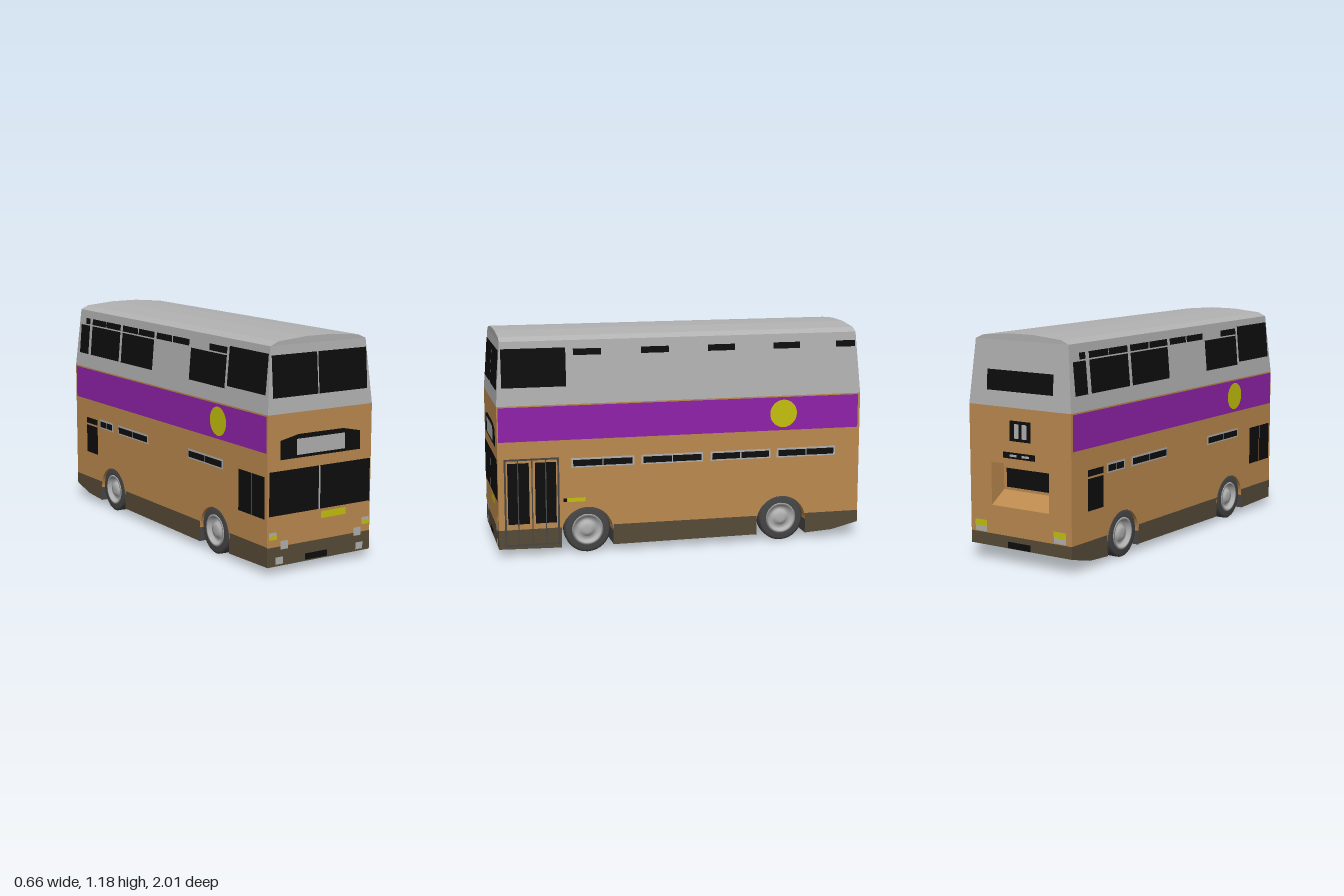
import * as THREE from 'three';

const mat = (name, color) => new THREE.MeshStandardMaterial({ name, color, side: THREE.DoubleSide });

export function createModel() {
  const bus = new THREE.Group();
  bus.name = 'doubleDeckerBus';
  const tan = mat('tan', 0xbd8a4f), grey = mat('lightGrey', 0xb2b2b2), olive = mat('olive', 0x574b38);
  const purple = mat('purple', 0x9122ab), yellow = mat('yellow', 0xc6c20e);
  const black = mat('black', 0x0d0d0d), charcoal = mat('charcoal', 0x464646);

  const W = 0.325, WAIST = 0.81, EAVE = 1.145, SKIRT = 0.145;
  const arches = [0.525, -0.555], AR = 0.14, AY = 0.11;

  const add = (name, geo, material, parent = bus) => {
    const m = new THREE.Mesh(geo, material);
    m.name = name;
    parent.add(m);
    return m;
  };

  // Faces of the body: u is x on front and back, z on the sides; the upper deck leans in
  const lean = v => Math.max(0, v - WAIST) / (EAVE - WAIST);
  const faces = {
    front: { s: 1, at: (u, v, o) => [u, v, 1 - 0.025 * lean(v) + o] },
    back: { s: -1, at: (u, v, o) => [u, v, -1 + 0.025 * lean(v) - o] },
    left: { s: -1, at: (u, v, o) => [W - 0.03 * lean(v) + o, v, u] },
    right: { s: 1, at: (u, v, o) => [-W + 0.03 * lean(v) - o, v, u] },
  };
  // Flat outline laid on one face of the body
  function panel(name, face, material, pts, layer = 1, holes = []) {
    const { s, at } = faces[face];
    const v2 = list => list.map(([u, v]) => new THREE.Vector2(u * s, v));
    const shape = new THREE.Shape(v2(pts));
    holes.forEach(h => shape.holes.push(new THREE.Path(v2(h))));
    const geo = new THREE.ShapeGeometry(shape);
    const p = geo.attributes.position;
    for (let i = 0; i < p.count; i++) p.setXYZ(i, ...at(p.getX(i) * s, p.getY(i), layer * 0.0025));
    geo.computeVertexNormals();
    return add(name, geo, material);
  }
  const box = (a, b, c, d) => [[a, c], [b, c], [b, d], [a, d]];
  const rect = (name, face, material, a, b, c, d, layer = 1) => panel(name, face, material, box(a, b, c, d), layer);
  // Quad from four corners
  function quad(name, material, a, b, c, d) {
    const geo = new THREE.BufferGeometry();
    geo.setAttribute('position', new THREE.Float32BufferAttribute([a, b, c, a, c, d].flat(), 3));
    geo.computeVertexNormals();
    return add(name, geo, material);
  }

  // Upper deck: box tapering towards the eaves
  const deck = new THREE.BoxGeometry(2 * W, EAVE - WAIST, 2);
  const dp = deck.attributes.position;
  for (let i = 0; i < dp.count; i++) {
    if (dp.getY(i) > 0) dp.setXYZ(i, dp.getX(i) * 0.295 / W, dp.getY(i), dp.getZ(i) * 0.975);
  }
  deck.translate(0, (WAIST + EAVE) / 2, 0);
  deck.computeVertexNormals();
  add('upperDeck', deck, grey);

  // Cambered roof
  const camber = [[-0.295, EAVE], [0.295, EAVE], [0.25, 1.165], [0.08, 1.18], [-0.08, 1.18], [-0.25, 1.165]];
  const roof = new THREE.ExtrudeGeometry(new THREE.Shape(camber.map(p => new THREE.Vector2(...p))),
    { depth: 1.95, bevelEnabled: false });
  add('roof', roof.translate(0, 0, -0.975), grey);

  // Lower body sides with wheel arches, and skirts between the arches
  const sideOutline = [[-1, WAIST], [-1, SKIRT]];
  const a0 = Math.asin((SKIRT - AY) / AR);
  [...arches].reverse().forEach(z => {
    for (let i = 0; i <= 16; i++) {
      const t = Math.PI - a0 - (Math.PI - 2 * a0) * i / 16;
      sideOutline.push([z + AR * Math.cos(t), AY + AR * Math.sin(t)]);
    }
  });
  sideOutline.push([1, SKIRT], [1, WAIST]);
  const skirts = [
    [[1, SKIRT], [1, 0.042], [0.665, 0.034], [0.665, SKIRT]],
    [[0.385, SKIRT], [0.385, 0.034], [-0.415, 0.04], [-0.415, SKIRT]],
    [[-0.695, SKIRT], [-0.695, 0.033], [-0.85, 0.043], [-1, 0.08], [-1, SKIRT]],
  ];
  for (const f of ['left', 'right']) {
    panel(f + 'Side', f, tan, sideOutline, 0);
    skirts.forEach(s => panel(f + 'Skirt', f, olive, s, 0));
    rect(f + 'PurpleBand', f, purple, -0.987, 0.993, 0.62, 0.803);
    const zc = f === 'left' ? -0.56 : 0.565;
    panel(f + 'YellowDisc', f, yellow, Array.from({ length: 32 }, (_, i) =>
      [zc + 0.076 * Math.cos(i * Math.PI / 16), 0.713 + 0.076 * Math.sin(i * Math.PI / 16)]), 2);
    rect(f + 'UpperFrontWindow', f, black, 0.63, 0.97, 0.905, 1.108);
  }

  // End walls and skirts
  rect('frontWall', 'front', tan, -W, W, SKIRT - 0.005, WAIST, 0);
  rect('frontSkirt', 'front', olive, -W, W, 0.04, SKIRT - 0.005, 0);
  rect('backSkirt', 'back', olive, -W, W, 0.08, SKIRT, 0);
  panel('backWall', 'back', tan, box(-W, W, SKIRT, WAIST), 0, [box(-0.185, 0.185, 0.295, 0.52)]);

  // Recess in the back wall, with a sloping sill
  const o = [[-0.185, 0.295, -1], [0.185, 0.295, -1], [0.185, 0.52, -1], [-0.185, 0.52, -1]];
  const n = [[-0.185, 0.36, -0.9], [0.185, 0.36, -0.9], [0.185, 0.52, -0.9], [-0.185, 0.52, -0.9]];
  for (let i = 0; i < 4; i++) quad('recessWall', tan, o[i], o[(i + 1) % 4], n[(i + 1) % 4], n[i]);
  quad('recessBack', tan, n[1], n[0], n[3], n[2]);
  rect('backLowerWindow', 'back', black, -0.165, 0.165, 0.375, 0.475, -39);

  // Underside: raised floor, arch liners, cross walls, closed tail
  const across = (name, m, y1, z1, y2, z2) =>
    quad(name, m, [-W, y1, z1], [W, y1, z1], [W, y2, z2], [-W, y2, z2]);
  across('floor', tan, 0.249, -1, 0.249, 1);
  across('tailUnderside', olive, 0.033, -0.695, 0.043, -0.85);
  across('tailUnderside', olive, 0.043, -0.85, 0.08, -1);
  for (const z of arches) {
    const liner = new THREE.CylinderGeometry(AR, AR, 2 * W, 16, 1, true, 0, Math.PI);
    add('archLiner', liner.rotateZ(Math.PI / 2).translate(0, AY, z), tan);
    for (const s of [-1, 1]) across('archWall', charcoal, 0.035, z + s * AR, AY, z + s * AR);
  }

  // Wheels: tyre and dished rim turned about the axle
  const lathe = pts => new THREE.LatheGeometry(pts.map(p => new THREE.Vector2(...p)), 32).rotateZ(Math.PI / 2);
  const tyre = lathe([[0.08, 0.032], [0.08, -0.03], [0.113, -0.032], [0.125, -0.025], [0.125, 0.025],
    [0.113, 0.032], [0.08, 0.032]]);
  const rim = lathe([[0, -0.03], [0.08, -0.03], [0.085, 0.033], [0.073, 0.034], [0.066, 0.014],
    [0.045, 0.01], [0.038, 0.026], [0.018, 0.03], [0, 0.03]]);
  for (const z of arches) {
    for (const s of [-1, 1]) {
      const wheel = new THREE.Group();
      wheel.name = (z > 0 ? 'front' : 'rear') + (s > 0 ? 'Left' : 'Right') + 'Wheel';
      add('tyre', tyre, charcoal, wheel);
      add('rim', rim, grey, wheel);
      wheel.position.set(s * 0.288, 0.125, z);
      wheel.rotation.y = s > 0 ? Math.PI : 0;
      bus.add(wheel);
    }
  }

  // Front: windscreens, destination box, lights and plates
  rect('upperWindscreen', 'front', black, -0.292, -0.016, 0.89, 1.1);
  rect('upperWindscreen', 'front', black, -0.009, 0.295, 0.89, 1.1);
  rect('lowerWindscreen', 'front', black, -0.315, 0.318, 0.3, 0.525);
  rect('windscreenDivider', 'front', grey, -0.012, -0.002, 0.3, 0.525, 2);
  panel('destinationBox', 'front', black,
    [[-0.25, 0.58], [0.25, 0.58], [0.25, 0.677], [0.14, 0.7], [-0.14, 0.7], [-0.25, 0.677]]);
  rect('destinationBlind', 'front', grey, -0.15, 0.15, 0.595, 0.677, 2);
  rect('yellowPlate', 'front', yellow, 0.008, 0.165, 0.25, 0.286);
  rect('frontPlate', 'front', black, -0.09, 0.05, 0.047, 0.08);
  for (const [x, u, w] of [[-0.315, -0.245, -0.275], [0.27, 0.22, 0.233]]) {
    rect('sideLight', 'front', grey, x, x + 0.047, 0.18, 0.217);
    rect('indicator', 'front', yellow, x, x + 0.047, 0.18, 0.2, 2);
    rect('headlight', 'front', grey, u, u + 0.046, 0.124, 0.168);
    rect('fogLight', 'front', grey, w, w + 0.046, 0.05, 0.087);
  }

  // Back: window, vents, lights and plate
  rect('backUpperWindow', 'back', black, -0.212, 0.21, 0.89, 0.995);
  rect('routeBox', 'back', black, -0.075, 0.06, 0.64, 0.745);
  rect('routeBlind', 'back', grey, 0, 0.03, 0.655, 0.73, 2);
  rect('routeBlind', 'back', grey, -0.05, -0.02, 0.655, 0.73, 2);
  rect('ventStrip', 'back', black, -0.1, 0.104, 0.55, 0.582);
  rect('ventLight', 'back', grey, 0.015, 0.06, 0.56, 0.572, 2);
  rect('ventLight', 'back', grey, -0.065, -0.018, 0.56, 0.572, 2);
  rect('backPlate', 'back', black, -0.065, 0.08, 0.082, 0.116);
  for (const x of [-0.29, 0.218]) {
    rect('tailLight', 'back', grey, x, x + 0.075, 0.15, 0.21);
    rect('tailIndicator', 'back', yellow, x, x + 0.075, 0.178, 0.21, 2);
  }

  // Framed pair of narrow lower-deck windows
  function slot(f, a, b) {
    const m = (a + b) / 2;
    rect('slotFrame', f, grey, a, b, 0.468, 0.52);
    rect('slotWindow', f, black, a + 0.01, m - 0.003, 0.476, 0.51, 2);
    rect('slotWindow', f, black, m + 0.003, b - 0.01, 0.476, 0.51, 2);
  }

  // Left side: vents, slots, door, repeater
  for (const [a, b] of [[0.44, 0.59], [0.075, 0.225], [-0.29, -0.14], [-0.655, -0.505], [-0.97, -0.86]])
    rect('upperVent', 'left', black, a, b, 1.066, 1.1);
  for (const [a, b] of [[0.27, 0.61], [-0.11, 0.23], [-0.49, -0.15], [-0.86, -0.525]]) slot('left', a, b);
  panel('doorFrame', 'left', charcoal, box(0.675, 0.968, 0.055, 0.528), 1, [box(0.685, 0.958, 0.065, 0.518)]);
  for (const z of [0.895, 0.82, 0.747]) rect('doorSeam', 'left', charcoal, z - 0.003, z + 0.003, 0.065, 0.518);
  for (const [a, b] of [[0.898, 0.95], [0.836, 0.892], [0.75, 0.804], [0.692, 0.744]])
    rect('doorPane', 'left', black, a, b, 0.175, 0.505);
  rect('repeaterMount', 'left', black, 0.635, 0.655, 0.284, 0.302);
  rect('repeater', 'left', yellow, 0.535, 0.632, 0.282, 0.304);

  // Right side: upper panes with vents above, lower windows
  for (const [a, b] of [[-0.955, -0.85], [-0.82, -0.485], [-0.46, -0.11], [0.27, 0.61]])
    rect('upperPane', 'right', black, a, b, 0.89, 1.058);
  for (const [a, b] of [[-0.9, -0.85], [-0.82, -0.655], [-0.65, -0.485], [-0.46, -0.29], [-0.28, -0.11],
    [-0.085, 0.075], [0.085, 0.25], [0.445, 0.61]])
    rect('upperVent', 'right', black, a, b, 1.066, 1.1);
  for (const [a, b] of [[-0.705, -0.545], [-0.485, -0.145], [0.27, 0.61]]) slot('right', a, b);
  rect('rearSideWindow', 'right', black, -0.867, -0.735, 0.3, 0.465);
  rect('rearSideVent', 'right', black, -0.867, -0.735, 0.476, 0.51);
  rect('cabWindow', 'right', black, 0.75, 0.862, 0.285, 0.5);
  rect('cabWindow', 'right', black, 0.868, 0.98, 0.285, 0.5);

  return bus;
}
